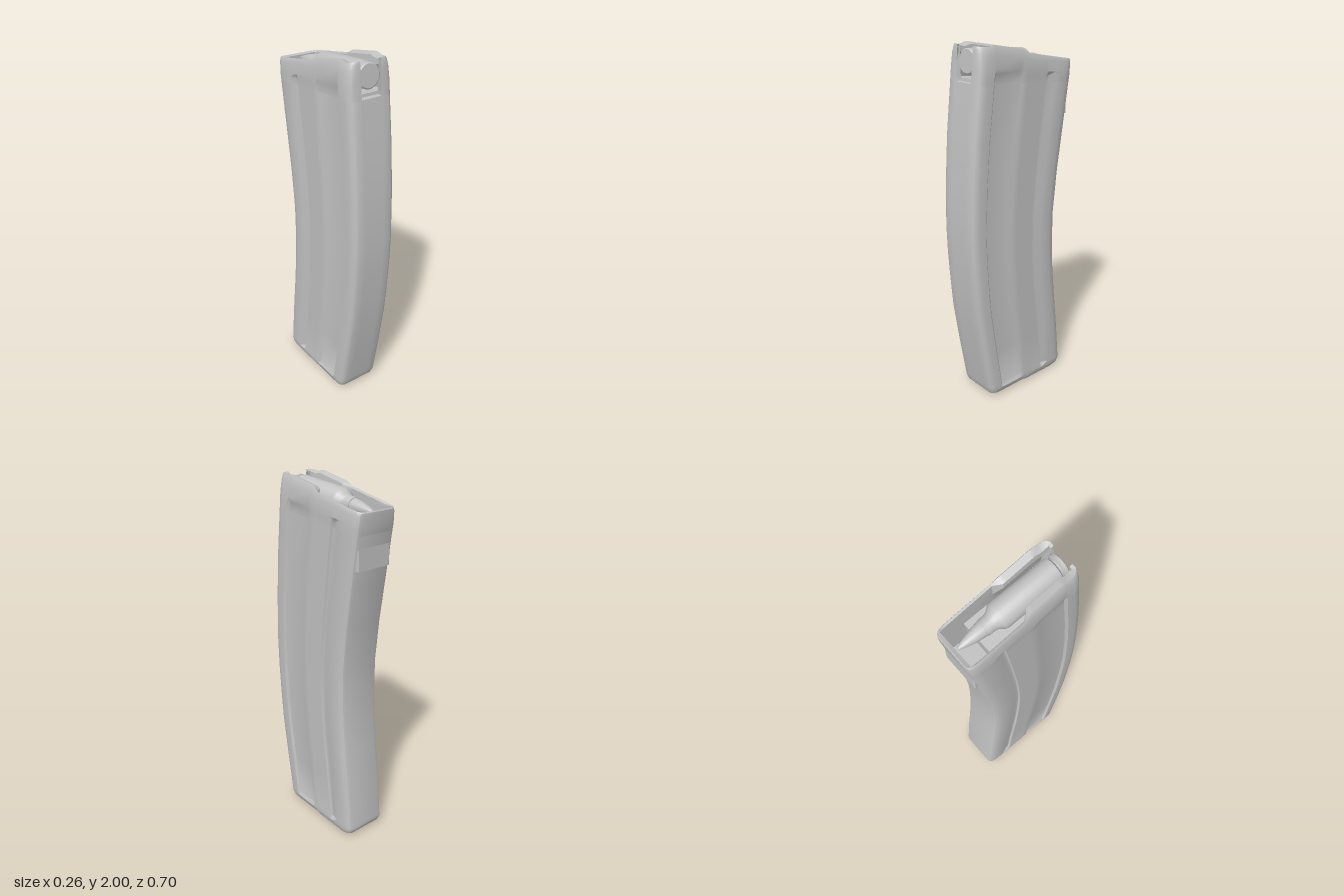
import * as THREE from 'three';
import { toCreasedNormals } from 'three/addons/utils/BufferGeometryUtils.js';

const lerp = THREE.MathUtils.lerp;
const metal = new THREE.MeshStandardMaterial({ color: 0xc2c2c2, side: THREE.DoubleSide });
metal.name = 'grey metal';

// Half cross-section: [x, fraction from front to back, panel depth]
const HALF = [
  [0.06, 0, 0], [0.1, 0, 0], [0.115, 0.012, 0], [0.125, 0.035, 0], [0.13, 0.07, 0],
  [0.13, 0.14, 0], [0.13, 0.16, 0.012], [0.13, 0.405, 0.012], [0.13, 0.44, 0.003],
  [0.13, 0.5, 0.003], [0.13, 0.7, 0.003], [0.13, 0.71, 0.014], [0.13, 0.74, 0.014],
  [0.13, 0.8, 0], [0.13, 0.92, 0], [0.125, 0.965, 0], [0.115, 0.99, 0], [0.1, 1, 0],
];

// Full ring of points, running from the front right round the back
function ring(point) {
  const side = HALF.map(([x, u, d]) => point(x, u, d));
  const other = side.map(([x, y, z]) => [-x, y, z]).reverse();
  return [...side, ...other];
}

function loft(rings, closed, capBottom) {
  const n = rings[0].length, pos = rings.flat(2), idx = [];
  for (let i = 0; i < rings.length - 1; i++) {
    for (let j = 0; j < (closed ? n : n - 1); j++) {
      const k = (j + 1) % n, a = i * n + j, b = i * n + k;
      idx.push(a, b, b + n, a, b + n, a + n);
    }
  }
  if (capBottom) for (let j = 1; j < n - 1; j++) idx.push(0, j + 1, j);
  const g = new THREE.BufferGeometry();
  g.setAttribute('position', new THREE.Float32BufferAttribute(pos, 3));
  g.setIndex(idx);
  return toCreasedNormals(g, 0.55);
}

// Outer ring: front and back heights, front and back z, width scale, panel depth scale
function outer([yF, yB, zF, zB, s, g, lip = 0]) {
  return ring((x, u, d) => [
    (x - d * g) * (x > 0.06 ? (u > 0.45 ? lerp(s, 1, 0.4) : s) : 1),
    lerp(yF, yB, u) + (u > 0.1 && u < 0.45 ? lip : 0),
    lerp(zF, zB, u),
  ]);
}

// Inner ring: narrow lips ahead of the middle, plain wall behind
function inner(yF, yB, lipX, wallX, lip = 0) {
  return ring((x, u) => [
    Math.min(x, u < 0.45 ? lipX : wallX),
    lerp(yF, yB, u) + (u > 0.1 && u < 0.45 ? lip : 0),
    lerp(0.265, -0.328, u),
  ]);
}

export function createModel() {
  const model = new THREE.Group();
  const add = (name, geometry) => {
    const mesh = new THREE.Mesh(geometry, metal);
    mesh.name = name;
    model.add(mesh);
    return mesh;
  };

  // Curved body, closed all the way round
  const sill = [1.82, 1.775, 0.298, -0.337, 1, 1];
  add('curvedBody', loft([
    [0.008, 0.008, 0.205, -0.285, 0.86, 0],
    [0.02, 0.02, 0.232, -0.308, 0.95, 0],
    [0.045, 0.045, 0.243, -0.32, 1, 0],
    [0.065, 0.065, 0.247, -0.318, 1, 1],
    [0.3, 0.3, 0.287, -0.295, 1, 1],
    [0.55, 0.55, 0.325, -0.265, 1, 1],
    [0.7, 0.7, 0.338, -0.25, 1, 1],
    [0.88, 0.88, 0.35, -0.241, 1, 1],
    [1.05, 1.05, 0.355, -0.242, 1, 1],
    [1.3, 1.28, 0.347, -0.265, 1, 1],
    [1.55, 1.52, 0.329, -0.3, 1, 1],
    sill,
  ].map(outer), true, true));

  // Open top with feed lips folded over the cartridge
  add('feedLips', loft([
    outer(sill),
    outer([1.875, 1.8, 0.292, -0.341, 1, 0.9]),
    outer([1.9, 1.82, 0.29, -0.344, 0.99, 0]),
    outer([1.96, 1.87, 0.285, -0.349, 0.94, 0, 0.01]),
    outer([1.99, 1.885, 0.281, -0.35, 0.88, 0, 0.018]),
    outer([2.0, 1.89, 0.278, -0.347, 0.84, 0, 0.018]),
    inner(1.99, 1.885, 0.075, 0.108, 0.015),
    inner(1.96, 1.87, 0.072, 0.108, 0.01),
    inner(1.9, 1.82, 0.108, 0.108),
    inner(1.6, 1.6, 0.108, 0.108),
  ], false, false));

  // Floor plate under the body
  add('floorPlate', new THREE.BoxGeometry(0.18, 0.02, 0.34)).position.set(0, 0.01, -0.05);

  // Follower and the floor of the open cavity
  const follower = add('follower', new THREE.BoxGeometry(0.212, 0.1, 0.47));
  follower.position.set(0, 1.765, 0.035);
  follower.rotation.x = -0.09;
  add('cavityFloor', new THREE.BoxGeometry(0.22, 0.02, 0.6)).position.set(0, 1.62, -0.01);
  add('rearSill', new THREE.BoxGeometry(0.12, 0.025, 0.04)).position.set(0, 1.808, 0.277);

  // Top cartridge: case and bullet turned on one axis
  const turned = (pts) => {
    const g = new THREE.LatheGeometry(pts.map(([r, y]) => new THREE.Vector2(r, y)), 24);
    return toCreasedNormals(g, 0.5);
  };
  const cartridge = new THREE.Group();
  cartridge.name = 'cartridge';
  const brass = new THREE.Mesh(turned([
    [0, -0.275], [0.058, -0.275], [0.064, -0.27], [0.064, -0.255], [0.053, -0.25],
    [0.053, -0.24], [0.067, -0.23], [0.07, 0.085], [0.066, 0.097], [0.047, 0.122],
    [0.043, 0.14], [0.042, 0.178], [0.038, 0.178],
  ]), metal);
  brass.name = 'cartridgeCase';
  const bullet = new THREE.Mesh(turned([
    [0.039, 0.17], [0.038, 0.19], [0.031, 0.235], [0.02, 0.28], [0.009, 0.312], [0, 0.322],
  ]), metal);
  bullet.name = 'bullet';
  cartridge.add(brass, bullet);
  cartridge.rotation.x = -Math.PI / 2 - 0.085;
  cartridge.position.set(0, 1.898, 0);
  model.add(cartridge);

  return model;
}
